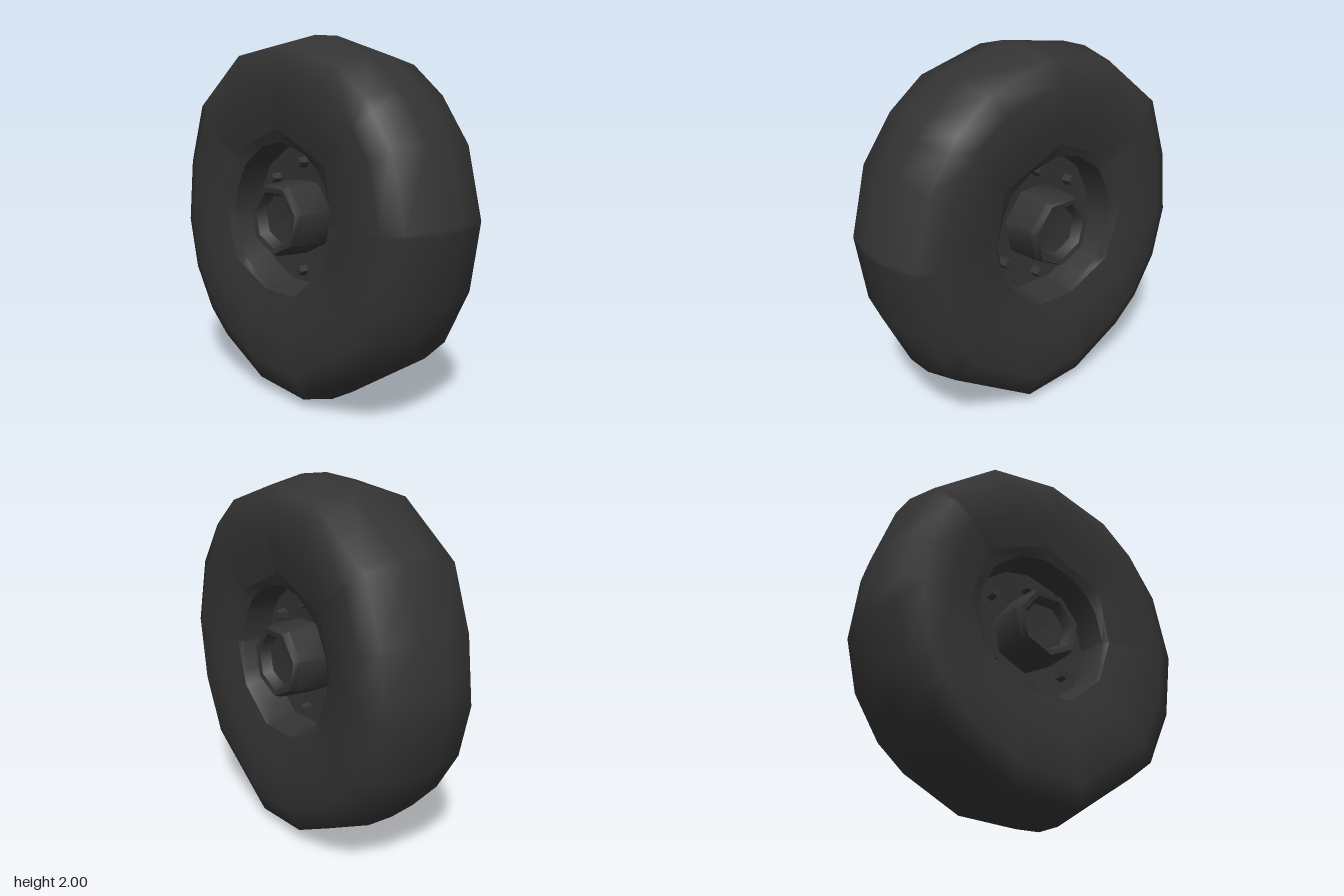
import * as THREE from 'three';
import { toCreasedNormals } from 'three/addons/utils/BufferGeometryUtils.js';

const CZ = -0.02, CY = 1.02; // axle position

// Uneven polygons as [z, y]
const TREAD = [[0.055, 2], [0.46, 1.885], [0.67, 1.72], [0.855, 1.465], [0.955, 1.068], [0.893, 0.676],
  [0.73, 0.347], [0.19, 0], [-0.2, 0.025], [-0.555, 0.205], [-0.72, 0.347], [-0.877, 0.596],
  [-0.95, 0.903], [-0.905, 1.285], [-0.777, 1.64], [-0.38, 1.94]];
const LIP = [[-0.02, 1.51], [0.36, 1.34], [0.42, 1.03], [0.34, 0.785], [0.125, 0.615], [-0.125, 0.615],
  [-0.4, 0.74], [-0.5, 1.03], [-0.4, 1.36]];

const angleOf = ([z, y]) => Math.atan2(y - CY, z - CZ);

// Distance from the axle to a polygon's edge at a given angle
function reach(poly, a) {
  const dz = Math.cos(a), dy = Math.sin(a);
  let best = 0;
  poly.forEach(([z1, y1], i) => {
    const [z2, y2] = poly[(i + 1) % poly.length];
    const pz = z1 - CZ, py = y1 - CY, ez = z2 - z1, ey = y2 - y1;
    const den = dz * ey - dy * ez;
    if (Math.abs(den) < 1e-9) return;
    const t = (pz * ey - py * ez) / den, u = (pz * dy - py * dz) / den;
    if (t > 0 && u > -1e-6 && u < 1 + 1e-6) best = Math.max(best, t);
  });
  return best;
}

// Skin a list of rings [x, radius or radius(angle)] around the axle
function skin(angles, rings) {
  const n = angles.length, pos = [], idx = [];
  for (const [x, r] of rings) {
    for (const a of angles) {
      const d = typeof r === 'function' ? r(a) : r;
      pos.push(x, CY + d * Math.sin(a), CZ + d * Math.cos(a));
    }
  }
  for (let i = 0; i < rings.length - 1; i++) {
    for (let j = 0; j < n; j++) {
      const k = (j + 1) % n, a = i * n + j, b = a + n, c = b - j + k, d = i * n + k;
      idx.push(a, b, c, a, c, d);
    }
  }
  const g = new THREE.BufferGeometry();
  g.setAttribute('position', new THREE.Float32BufferAttribute(pos, 3));
  g.setIndex(idx);
  g.computeVertexNormals();
  return g;
}

// Mirror a half profile to the chosen side, keeping the winding outward
const sided = (rings, s) => (s > 0 ? rings : rings.map(([x, r]) => [-x, r]).reverse());

export function createModel() {
  const group = new THREE.Group();
  const rubber = new THREE.MeshStandardMaterial({ color: 0x333333 });
  rubber.name = 'darkRubber';
  const add = (name, geo, parent = group) => {
    const m = new THREE.Mesh(geo, rubber);
    m.name = name;
    parent.add(m);
    return m;
  };

  const angles = [...TREAD, ...LIP].map(angleOf).sort((a, b) => a - b)
    .filter((a, i, all) => i === 0 || a - all[i - 1] > 0.01);
  const tread = (k) => (a) => reach(TREAD, a) * k;
  const lip = (a) => reach(LIP, a);
  const rimEdge = (a) => Math.min(lip(a) * 0.97, 0.415);

  // Tyre: rounded tread, flat sidewalls and a lip dipping into the rim
  const half = [[0.08, tread(1)], [0.28, tread(0.95)], [0.33, tread(0.83)],
    [0.328, (a) => 0.5 * (lip(a) + 0.83 * reach(TREAD, a))], [0.29, lip]];
  add('tyre', skin(angles, [...sided(half, -1), ...half]));

  for (const s of [1, -1]) {
    const side = new THREE.Group();
    side.name = s > 0 ? 'leftWheelFace' : 'rightWheelFace';
    group.add(side);

    // Rim: bevel, deep barrel and wheel disc
    const rim = [[0.29, lip], [0.265, rimEdge], [0.1, (a) => rimEdge(a) * 0.95], [0.08, 0.15]];
    add('rim', toCreasedNormals(skin(angles, sided(rim, s)), 0.7), side);

    // Hub: seven-sided barrel with a hollow end
    const seven = Array.from({ length: 7 }, (_, i) => -Math.PI / 2 + (i * Math.PI * 2) / 7);
    const hub = [[0.07, 0.215], [0.28, 0.205], [0.32, 0.19], [0.315, 0.16], [0.26, 0.135], [0.25, 0.001]];
    add('hub', toCreasedNormals(skin(seven, sided(hub, s)), 0.9), side);

    // Wheel nuts around the hub
    for (const [z, y] of [[0, 0.3], [0, -0.31], [0.235, 0.19], [-0.235, 0.19], [0.235, -0.18], [-0.225, -0.18]]) {
      const nut = add('wheelNut', toCreasedNormals(new THREE.CylinderGeometry(0.026, 0.038, 0.07, 5), 0.5), side);
      nut.rotation.z = -s * Math.PI / 2;
      nut.position.set(s * 0.11, CY + y, CZ + z);
    }
  }
  return group;
}
